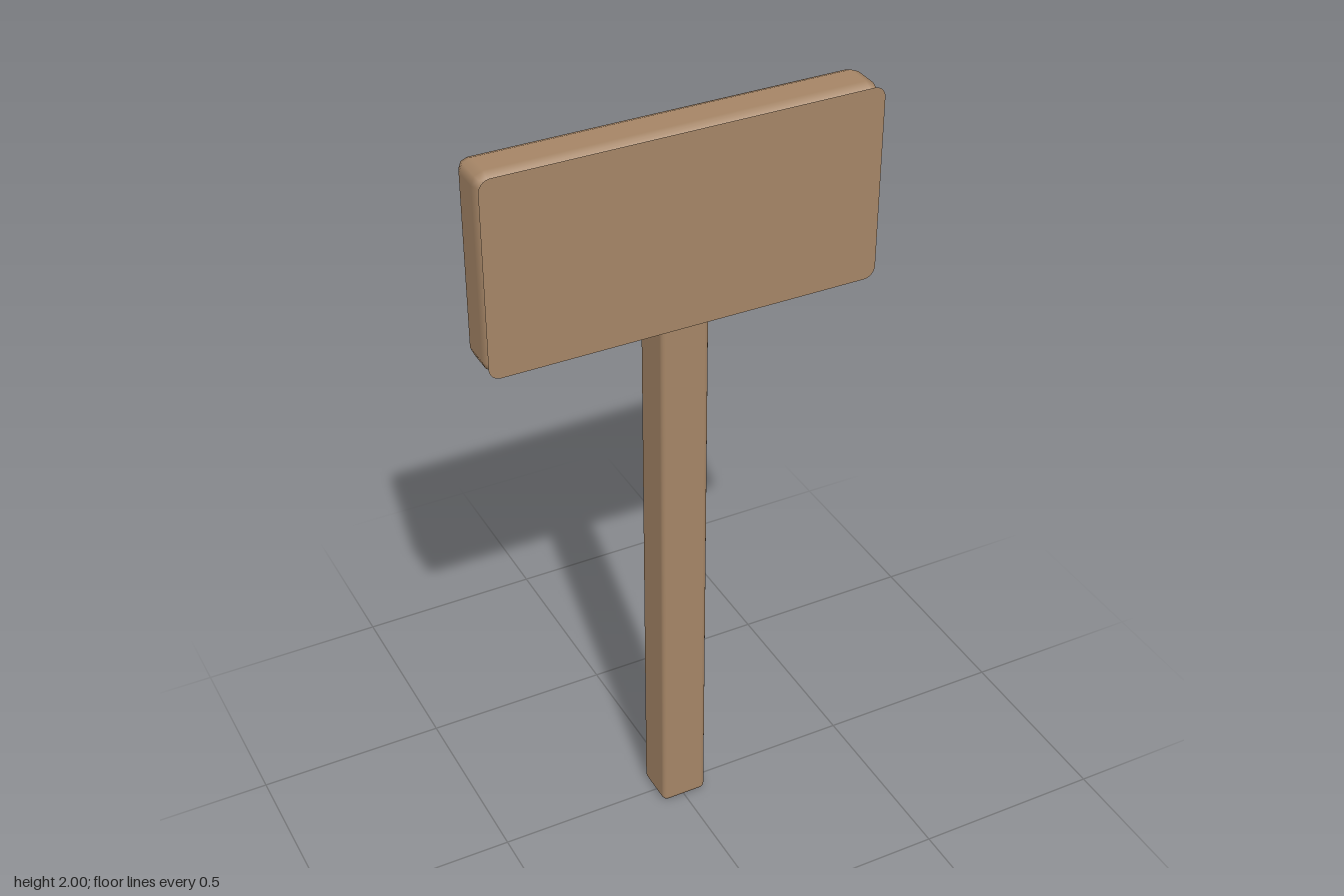
import * as THREE from 'three';
import { RoundedBoxGeometry } from 'three/addons/geometries/RoundedBoxGeometry.js';

const wood = new THREE.MeshStandardMaterial({ color: 0xa58566 });
wood.name = 'wood';
const woodSheet = wood.clone(); // same colour, seen from both sides
woodSheet.name = 'wood sheet';
woodSheet.side = THREE.DoubleSide;

function addPart(group, name, geometry, material, x, y, z) {
  const mesh = new THREE.Mesh(geometry, material);
  mesh.name = name;
  mesh.position.set(x, y, z);
  group.add(mesh);
}

// Rectangle with rounded corners, centred on the origin
function roundedRect(w, h, r) {
  const x = w / 2 - r, y = h / 2 - r;
  const shape = new THREE.Shape();
  shape.absarc(x, y, r, 0, Math.PI / 2);
  shape.absarc(-x, y, r, Math.PI / 2, Math.PI);
  shape.absarc(-x, -y, r, Math.PI, Math.PI * 1.5);
  shape.absarc(x, -y, r, Math.PI * 1.5, Math.PI * 2);
  return shape;
}

export function createModel() {
  const sign = new THREE.Group();
  sign.name = 'signpost';

  // Square post, running slightly up into the board
  addPart(sign, 'post', new RoundedBoxGeometry(0.125, 1.54, 0.12, 2, 0.015), wood, 0, 0.77, -0.004);

  // Board with softly bevelled edges
  addPart(sign, 'board', new RoundedBoxGeometry(1, 0.5, 0.126, 1, 0.03), wood, 0, 1.75, -0.005);

  // Paper-thin face standing just in front of the board
  addPart(sign, 'boardFace', new THREE.ShapeGeometry(roundedRect(1, 0.5, 0.03), 6), woodSheet, 0, 1.75, 0.068);

  return sign;
}
